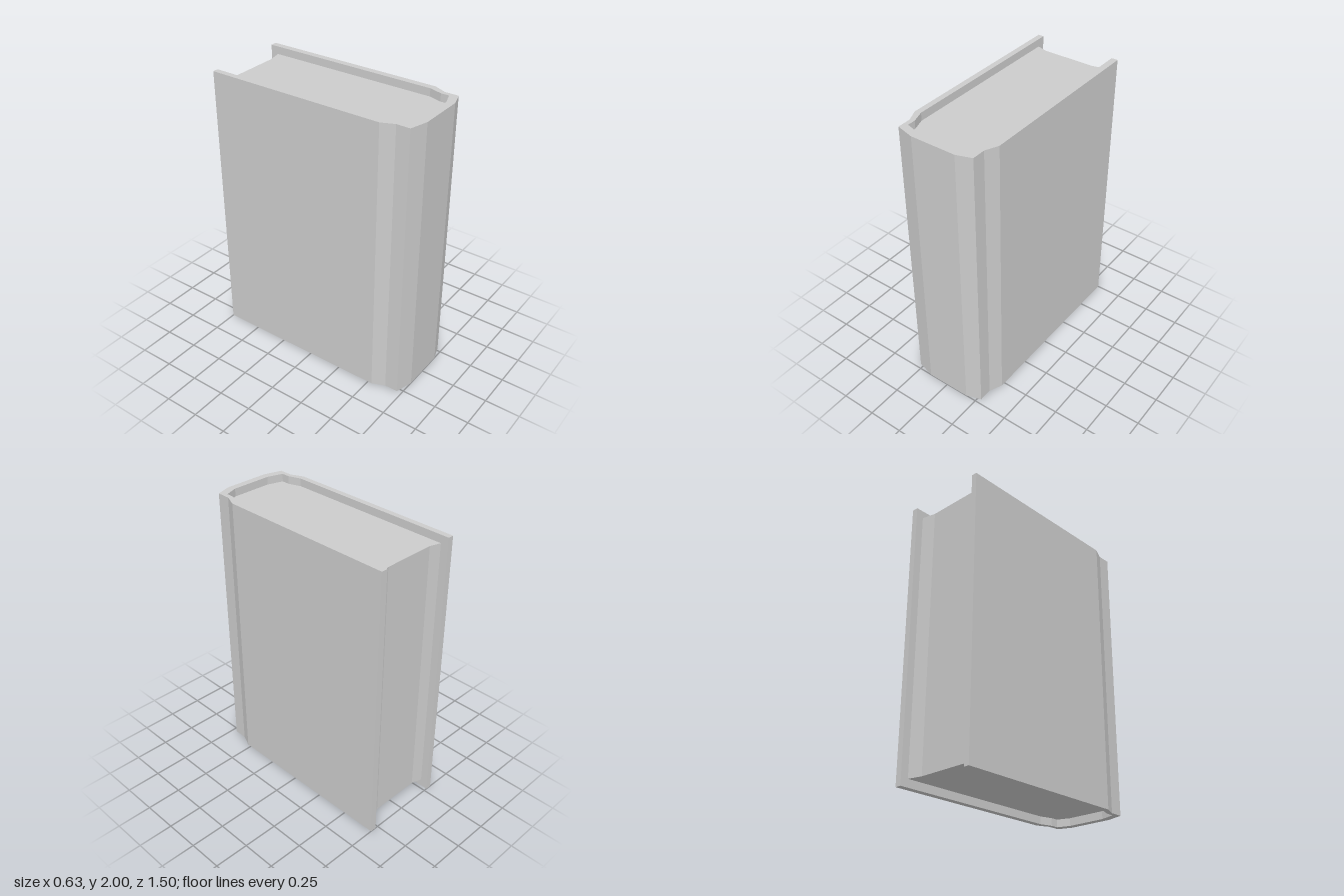
import * as THREE from 'three';

const HEIGHT = 2;
const RECESS = 0.055;

// Extrude a plan outline of [x, z] points upward from y = bottom.
function extrudePlan(name, points, bottom, height, material) {
  const shape = new THREE.Shape(points.map(([x, z]) => new THREE.Vector2(x, -z)));
  const geometry = new THREE.ExtrudeGeometry(shape, { depth: height, bevelEnabled: false });
  geometry.rotateX(-Math.PI / 2);
  geometry.translate(0, bottom, 0);
  const mesh = new THREE.Mesh(geometry, material);
  mesh.name = name;
  return mesh;
}

export function createModel() {
  const group = new THREE.Group();
  group.name = 'book';
  const grey = new THREE.MeshStandardMaterial({ color: 0xcccccc, flatShading: true });
  grey.name = 'plain grey';

  // Outer skin of the cover, running from the left board round the spine to the right
  const outer = [
    [-0.315, -0.75], [-0.315, 0.53], [-0.277, 0.62], [-0.277, 0.715], [-0.15, 0.75],
    [0.17, 0.75], [0.275, 0.715], [0.275, 0.62], [0.315, 0.53], [0.315, -0.75],
  ];
  // Inner skin, shared by the cover and the page block
  const inner = [
    [0.27, 0.52], [0.243, 0.61], [0.243, 0.667], [0.15, 0.7],
    [-0.135, 0.7], [-0.245, 0.667], [-0.245, 0.61], [-0.275, 0.52],
  ];
  const cover = [...outer, [0.27, -0.75], ...inner, [-0.275, -0.75]];
  group.add(extrudePlan('cover', cover, 0, HEIGHT, grey));

  // Page block with a hollowed fore edge, set back at top and bottom
  const pages = [...inner, [-0.275, -0.695], [-0.2, -0.672], [0.17, -0.672], [0.27, -0.695]];
  group.add(extrudePlan('pageBlock', pages, RECESS, HEIGHT - 2 * RECESS, grey));

  return group;
}
